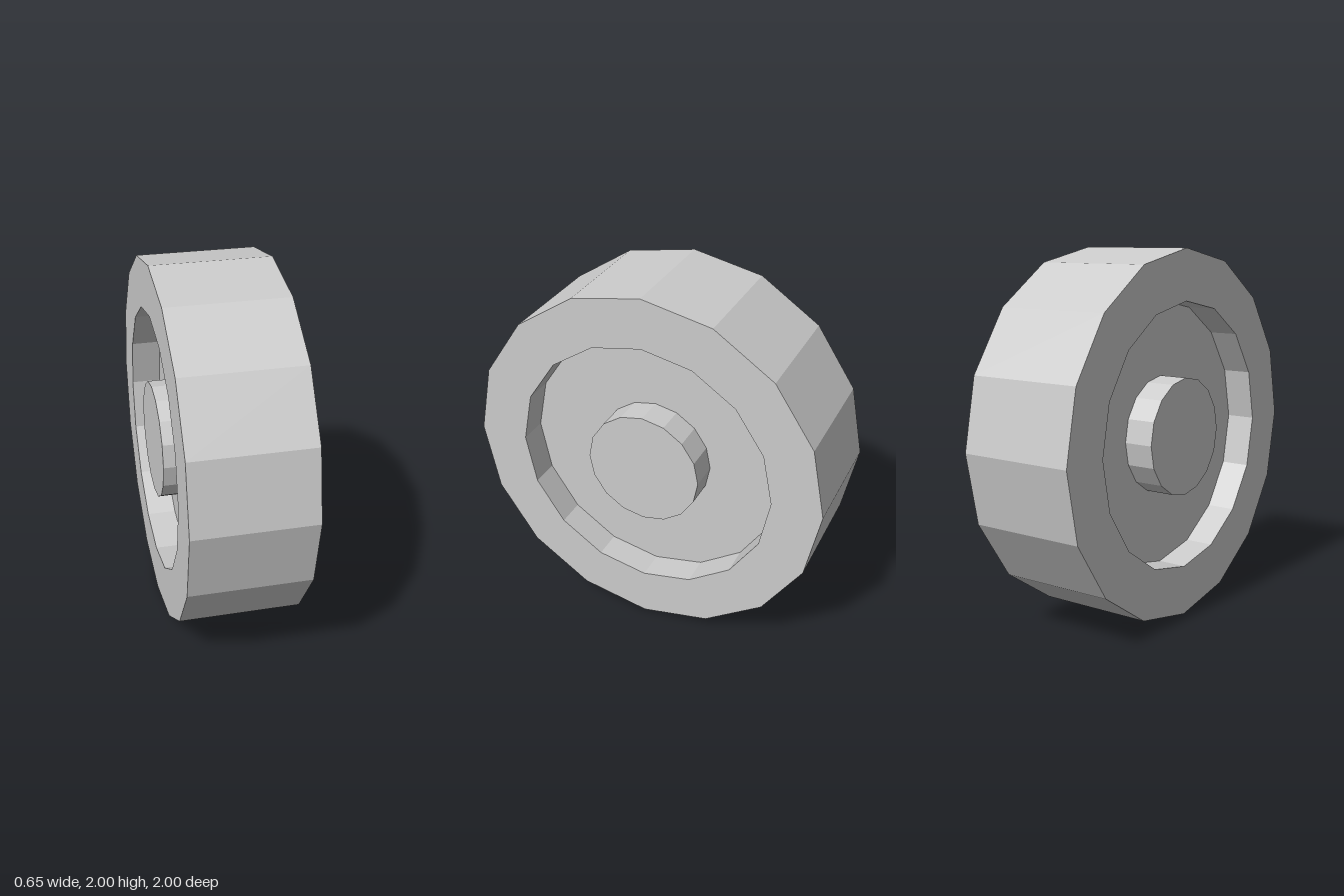
import * as THREE from 'three';

const SIDES = 16;
const HALF_WIDTH = 0.325, DISC_HALF = 0.162; // outer faces and recessed disc
const TYRE_R = 1, RIM_R = 0.725, HUB_R = 0.32;

const material = new THREE.MeshStandardMaterial({ color: 0xcccccc, flatShading: true });

// Faceted ring or plate turned about the axle; profile points are [radius, offset along axle]
function turned(name, profile) {
  const points = profile.map(([r, a]) => new THREE.Vector2(r, a));
  const mesh = new THREE.Mesh(new THREE.LatheGeometry(points, SIDES), material);
  mesh.name = name;
  return mesh;
}

export function createModel() {
  const wheel = new THREE.Group();
  wheel.name = 'wheel';

  // Tread, side walls and the inner walls of both recesses
  wheel.add(turned('tyre', [
    [RIM_R, -DISC_HALF], [RIM_R, -HALF_WIDTH], [TYRE_R, -HALF_WIDTH],
    [TYRE_R, HALF_WIDTH], [RIM_R, HALF_WIDTH], [RIM_R, DISC_HALF],
  ]));

  for (const [side, s] of [['left', -1], ['right', 1]]) {
    // Recessed disc face and the hub standing on it, flush with the side wall
    const disc = [[RIM_R, s * DISC_HALF], [HUB_R, s * DISC_HALF]];
    const hub = [[HUB_R, s * DISC_HALF], [HUB_R, s * HALF_WIDTH], [0, s * HALF_WIDTH]];
    // Mirrored profiles run the other way so the faces stay outward
    if (s < 0) { disc.reverse(); hub.reverse(); }
    wheel.add(turned(side + 'Disc', disc), turned(side + 'Hub', hub));
  }

  // Lay the axle along x and stand the wheel on the ground
  wheel.rotation.z = Math.PI / 2;
  wheel.position.y = TYRE_R;

  const model = new THREE.Group();
  model.add(wheel);
  return model;
}
